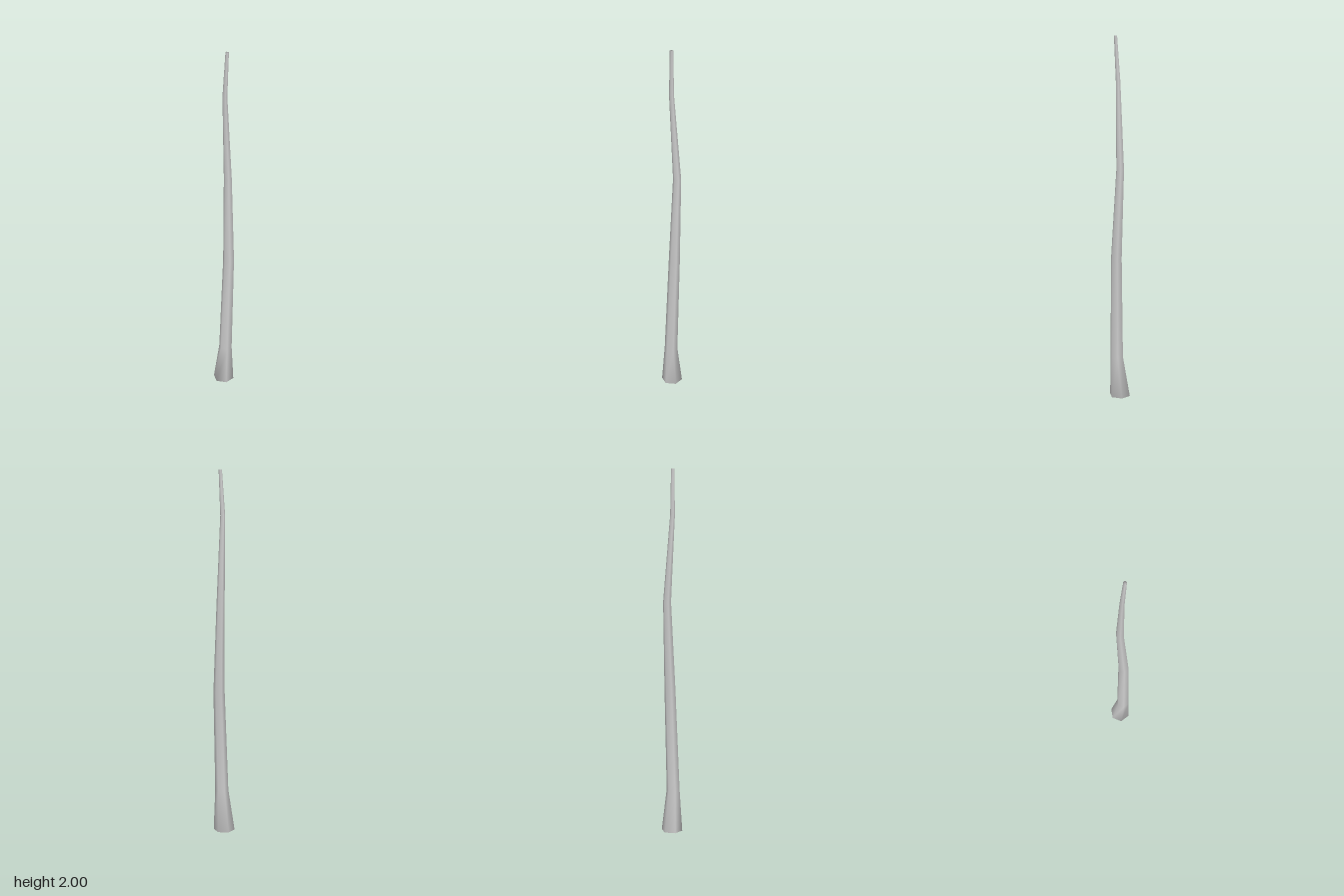
import * as THREE from 'three';

const SIDES = 6;

// Cross-sections of the stalk, bottom to top: [height, centre x, centre z, radius]
const RINGS = [
  [0, -0.002, 0, 0.059],
  [0.23, 0.016, 0.003, 0.037],
  [0.8, 0.021, -0.016, 0.031],
  [1.29, 0.002, -0.028, 0.022],
  [1.76, 0.008, 0.001, 0.013],
  [2, 0.022, -0.001, 0.009],
];

// Smooth six-sided tube through the rings, closed at both ends
function stalkGeometry() {
  const positions = [];
  const index = [];
  for (const [y, cx, cz, r] of RINGS) {
    for (let i = 0; i < SIDES; i++) {
      const a = (i / SIDES) * Math.PI * 2;
      positions.push(cx + r * Math.sin(a), y, cz + r * Math.cos(a));
    }
  }
  for (let k = 0; k < RINGS.length - 1; k++) {
    for (let i = 0; i < SIDES; i++) {
      const a = k * SIDES + i;
      const b = k * SIDES + ((i + 1) % SIDES);
      index.push(a, b, b + SIDES, a, b + SIDES, a + SIDES);
    }
  }
  // End caps share the ring vertices, so the shading rolls over the rims
  const top = (RINGS.length - 1) * SIDES;
  for (let i = 1; i < SIDES - 1; i++) {
    index.push(0, i + 1, i);
    index.push(top, top + i, top + i + 1);
  }
  const geometry = new THREE.BufferGeometry();
  geometry.setAttribute('position', new THREE.Float32BufferAttribute(positions, 3));
  geometry.setIndex(index);
  geometry.computeVertexNormals();
  return geometry;
}

export function createModel() {
  const group = new THREE.Group();
  group.name = 'woodenStalk';
  const stalk = new THREE.Mesh(
    stalkGeometry(),
    new THREE.MeshStandardMaterial({ color: 0xcccccc })
  );
  stalk.name = 'stalk';
  group.add(stalk);
  return group;
}
